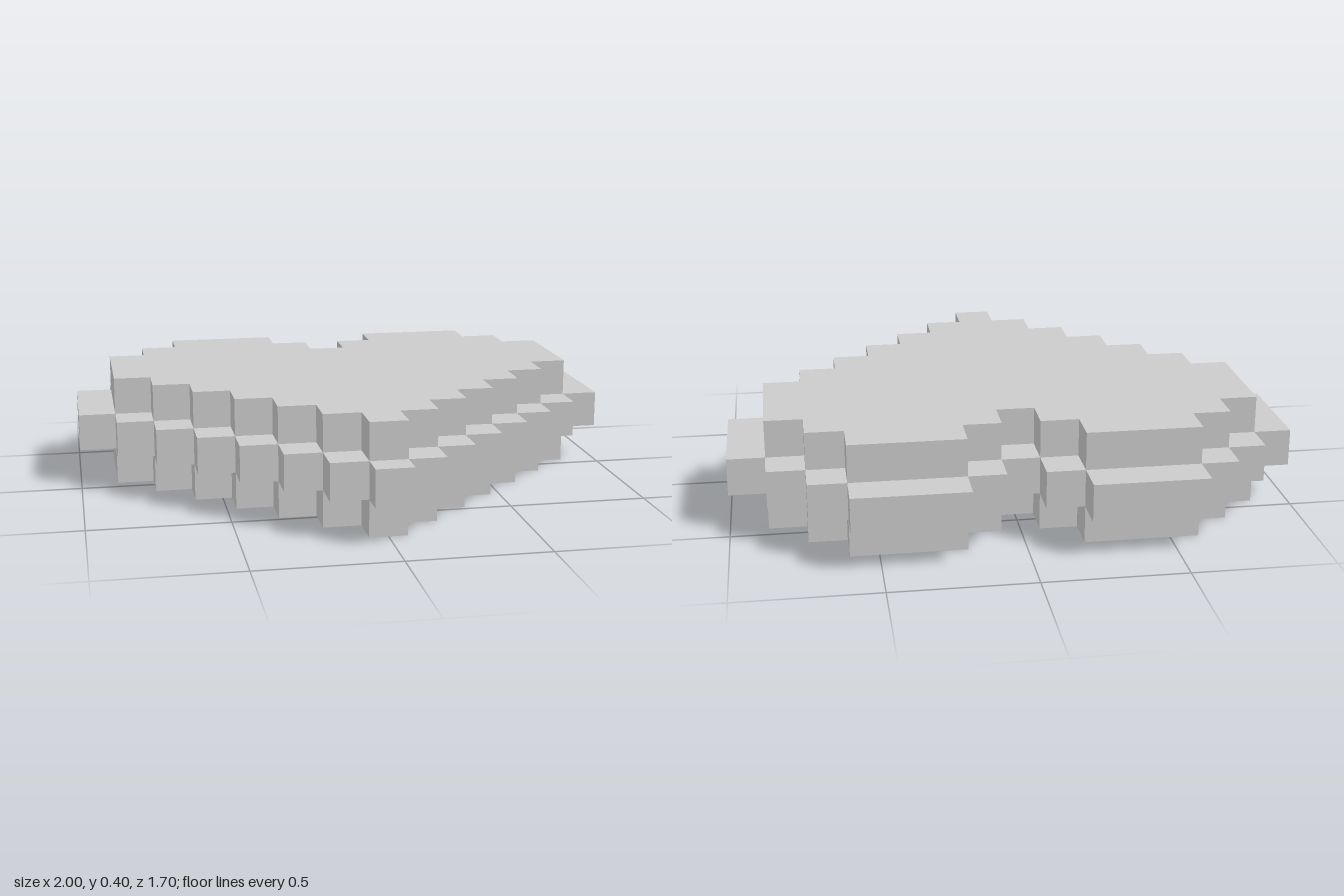
import * as THREE from 'three';

const CELL = 2 / 15; // the heart is 15 cells wide and 3 cells thick
const BACK = -0.85, FRONT = 0.85;

// Half outlines from the back notch round to the front tip.
// Each step [x, row]: move sideways to x, then along z to that row line (in cells).
const wideSteps = [[0.5, 1], [1.5, 0], [4.5, 1], [5.5, 2], [6.5, 3], [7.5, 6], [6.5, 7],
  [5.5, 8], [4.5, 9], [3.5, 10], [2.5, 11], [1.5, 12], [0.5, 13]];
const narrowSteps = [[0.5, 2], [1.5, 1], [4.5, 2], [5.5, 3], [6.5, 6], [5.5, 7],
  [4.5, 8], [3.5, 9], [2.5, 10], [1.5, 11], [0.5, 12]];

// Stepped heart outline, mirrored across x = 0
function heartShape(notchRow, steps) {
  const half = [];
  let row = notchRow;
  const add = (x, r) => {
    const z = Math.min(BACK + r * CELL, FRONT); // the tip row is cut short
    half.push(new THREE.Vector2(x * CELL, -z));
  };
  for (const [x, nextRow] of steps) {
    add(x, row);
    add(x, nextRow);
    row = nextRow;
  }
  const mirrored = half.map((p) => new THREE.Vector2(-p.x, p.y)).reverse();
  return new THREE.Shape([...half, ...mirrored]);
}

export function createModel() {
  const group = new THREE.Group();
  group.name = 'pixelHeart';
  const material = new THREE.MeshStandardMaterial({ color: 0xcccccc, flatShading: true });

  // One flat layer, a cell thick, lying on the given level
  function addLayer(name, shape, level) {
    const geometry = new THREE.ExtrudeGeometry(shape, { depth: CELL, bevelEnabled: false });
    geometry.rotateX(-Math.PI / 2);
    const mesh = new THREE.Mesh(geometry, material);
    mesh.name = name;
    mesh.position.y = level * CELL;
    group.add(mesh);
  }

  const narrow = heartShape(3, narrowSteps);
  const wide = heartShape(2, wideSteps);
  addLayer('bottomLayer', narrow, 0);
  addLayer('middleLayer', wide, 1);
  addLayer('topLayer', narrow, 2);
  return group;
}
